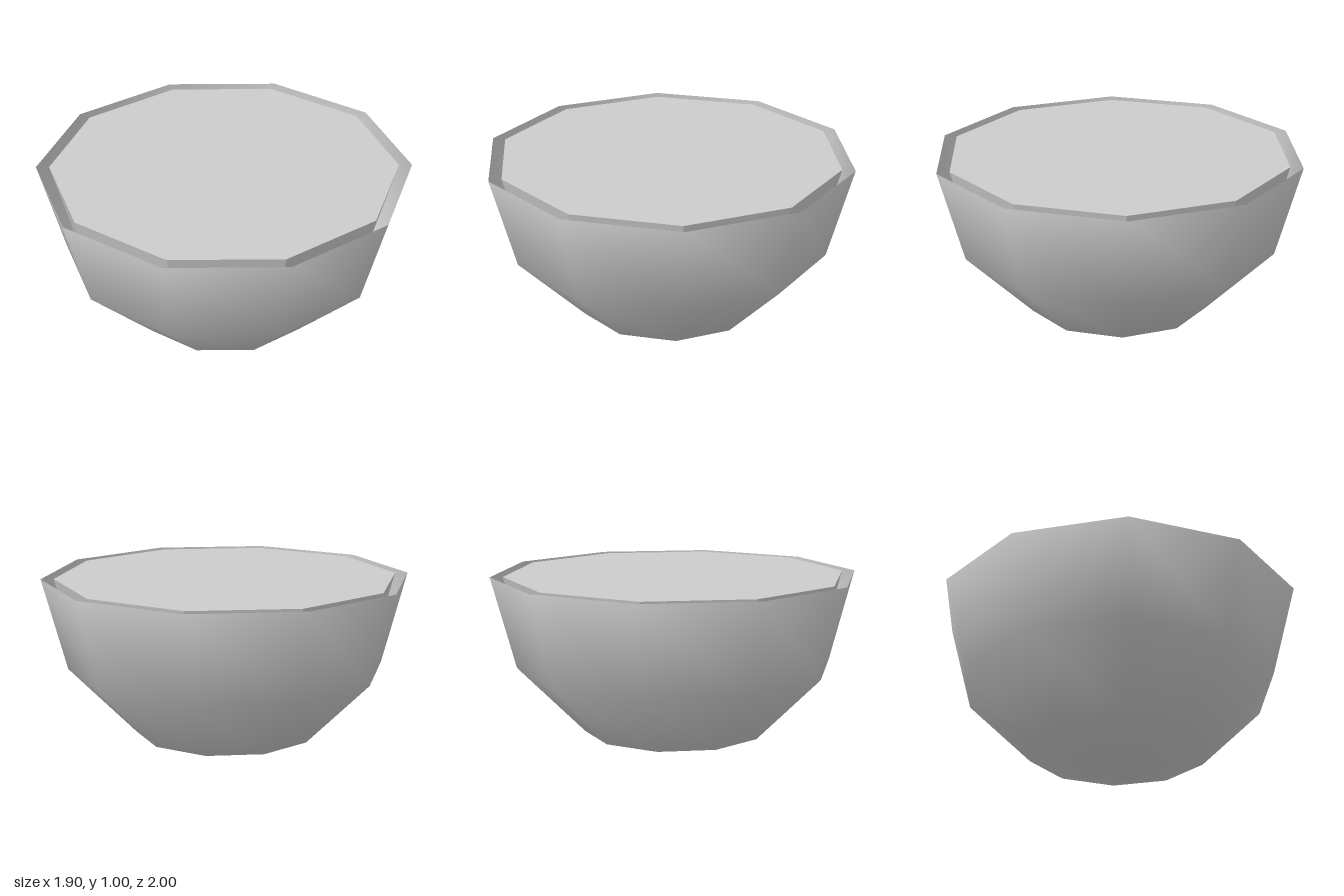
import * as THREE from 'three';

const SIDES = 10;

export function createModel() {
  const model = new THREE.Group();
  const grey = new THREE.MeshStandardMaterial({ color: 0xcccccc, side: THREE.DoubleSide });
  grey.name = 'plain grey';

  // Thin open bowl: lower half of a coarse sphere, smoothly shaded, corners on z
  const bowlGeometry = new THREE.SphereGeometry(1, SIDES, 3, 0, Math.PI * 2, Math.PI / 2, Math.PI / 2);
  bowlGeometry.rotateY(Math.PI / 2);
  bowlGeometry.translate(0, 1, 0);
  const bowl = new THREE.Mesh(bowlGeometry, grey);
  bowl.name = 'bowl';

  // Faceted filling, level with the rim and set in from it by a narrow gap
  const radius = 0.93;
  const profile = [];
  for (let i = 0; i <= 3; i++) {
    const a = (i * Math.PI) / 6;
    profile.push(new THREE.Vector2(radius * Math.sin(a), 1 - radius * Math.cos(a)));
  }
  profile.push(new THREE.Vector2(0, 1));
  const fillingGeometry = new THREE.LatheGeometry(profile, SIDES).toNonIndexed();
  fillingGeometry.computeVertexNormals();
  const filling = new THREE.Mesh(fillingGeometry, grey);
  filling.name = 'filling';

  model.add(bowl, filling);
  return model;
}
